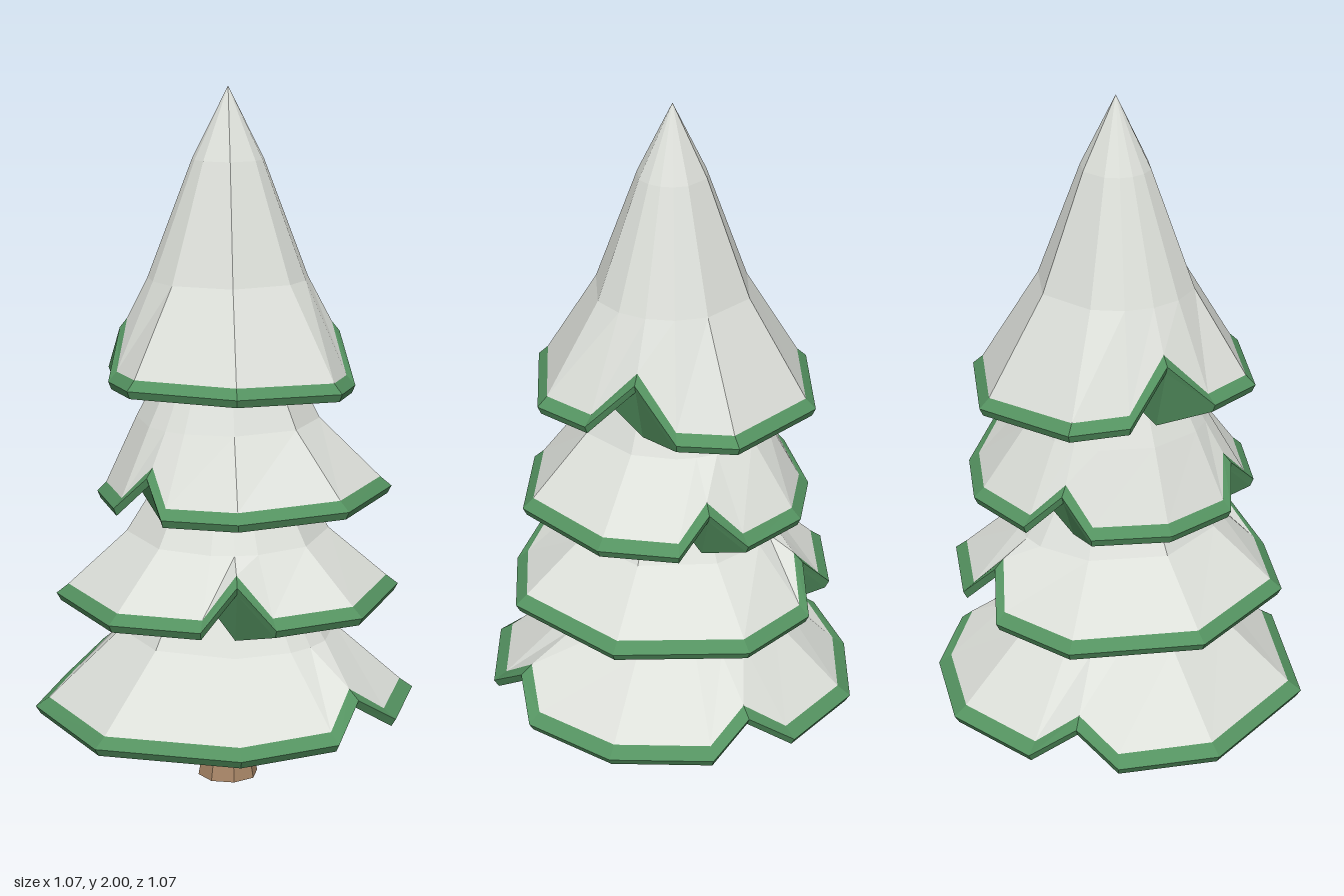
import * as THREE from 'three';

const AXIS = 0.01; // trunk axis offset in x
const SIDES = 8;

const mat = (name, color) => {
  const m = new THREE.MeshStandardMaterial({ color, flatShading: true });
  m.name = name;
  return m;
};

// Each tier is an octagonal skirt. Corners listed in `notches` are split into two
// corners (`split` degrees to each side) with a raised notch between them.
// crown: rings [radius, y] from the top down to the bend above the rim.
const TIERS = [
  {
    name: 'bottomTier', cx: 0, cz: 0, y: 0.218, tilt: 0.02, radius: 0.55, phase: 30,
    notches: [1, 5, 7], split: 14, splitScale: 0.975, notchScale: 0.885, rise: 0.085, sag: false,
    crown: [[0, 0.85], [0.15, 0.7], [0.31, 0.45]],
  },
  {
    name: 'lowerMiddleTier', cx: 0.01, cz: 0, y: 0.545, tilt: 0, radius: 0.493, phase: 31,
    notches: [2, 6], split: 13, splitScale: 0.93, notchScale: 0.8, rise: 0.11, sag: true,
    crown: [[0, 1.15], [0.13, 1.0], [0.29, 0.74]],
  },
  {
    name: 'upperMiddleTier', cx: 0.045, cz: 0.03, y: 0.842, tilt: 0.02, radius: 0.42, phase: 37,
    notches: [3, 5, 7], split: 14, splitScale: 0.985, notchScale: 0.87, rise: 0.095, sag: true,
    crown: [[0, 1.5], [0.12, 1.34], [0.26, 1.07]],
  },
  {
    name: 'topTier', cx: 0.02, cz: -0.005, y: 1.168, tilt: -0.04, radius: 0.413, phase: 32,
    notches: [0, 4], split: 21, splitScale: 0.89, notchScale: 0.75, rise: 0.135, sag: true,
    crown: [[0, 2.0], [0.1, 1.8], [0.225, 1.47]],
  },
];

// Rim corners of a tier, going from +x round to +z
function makeRim(t) {
  const rim = [];
  const add = (deg, scale, lift, notch) => {
    const a = THREE.MathUtils.degToRad(deg);
    const x = t.cx + t.radius * scale * Math.cos(a);
    const z = t.cz + t.radius * scale * Math.sin(a);
    rim.push({ x, y: t.y + t.tilt * x + 0.02 * z + lift, z, notch });
  };
  for (let i = 0; i < SIDES; i++) {
    const deg = t.phase + (i * 360) / SIDES;
    if (t.notches.includes(i)) {
      add(deg - t.split, t.splitScale, 0, false);
      add(deg, t.notchScale, t.rise, true);
      add(deg + t.split, t.splitScale, 0, false);
    } else add(deg, 1, 0, false);
  }
  return rim;
}

// Skin consecutive rings of points, listed from the top round the outside and back underneath
function loft(rings) {
  const pos = [];
  const tri = (a, b, c) => {
    if (a.distanceTo(b) > 1e-5 && b.distanceTo(c) > 1e-5 && c.distanceTo(a) > 1e-5)
      for (const p of [a, b, c]) pos.push(p.x, p.y, p.z);
  };
  for (let r = 0; r < rings.length - 1; r++) {
    const U = rings[r], L = rings[r + 1];
    for (let i = 0; i < U.length; i++) {
      const j = (i + 1) % U.length;
      tri(U[i], U[j], L[j]);
      tri(U[i], L[j], L[i]);
    }
  }
  const g = new THREE.BufferGeometry();
  g.setAttribute('position', new THREE.Float32BufferAttribute(pos, 3));
  g.computeVertexNormals();
  return g;
}

function makeTier(t, snow, needles) {
  const rim = makeRim(t);
  // Ring at a fixed radius, in the direction of every rim corner
  const round = (radius, y) => rim.map((p) => {
    const a = Math.atan2(p.z, p.x - AXIS);
    return new THREE.Vector3(AXIS + radius * Math.cos(a), y, radius * Math.sin(a));
  });
  // Ring following the rim, scaled inwards and lifted
  const follow = (scale, lift) => rim.map((p) =>
    new THREE.Vector3(AXIS + (p.x - AXIS) * scale, p.y + lift, p.z * scale));

  const snowEdge = follow(0.93, 0.045);
  const under = follow(0.8, 0.08);
  // Needles hanging inside the notches
  if (t.sag) under.forEach((p, i) => { if (rim[i].notch) p.y = t.y - 0.04; });
  const [bendR, bendY] = t.crown[2];

  const tier = new THREE.Group();
  tier.name = t.name;
  const cover = new THREE.Mesh(loft([...t.crown.map(([r, y]) => round(r, y)), snowEdge]), snow);
  cover.name = 'snowCover';
  const branches = new THREE.Mesh(loft([
    snowEdge, follow(1, 0.018), follow(0.975, -0.004), under,
    round(bendR * 0.65, bendY + 0.01), round(0, bendY + 0.09),
  ]), needles);
  branches.name = 'branchRim';
  tier.add(cover, branches);
  return tier;
}

export function createModel() {
  const model = new THREE.Group();
  model.name = 'snowyTree';
  const snow = mat('snow', 0xdde0da);
  const needles = mat('needles', 0x549260);
  const bark = mat('bark', 0xa98667);

  // Flared trunk
  const profile = [[0, 0], [0.088, 0], [0.062, 0.14], [0.058, 0.5], [0, 0.5]]
    .map(([r, y]) => new THREE.Vector2(r, y));
  const trunk = new THREE.Mesh(new THREE.LatheGeometry(profile, SIDES, Math.PI / SIDES), bark);
  trunk.name = 'trunk';
  trunk.position.x = AXIS;
  model.add(trunk);

  for (const t of TIERS) model.add(makeTier(t, snow, needles));
  return model;
}
